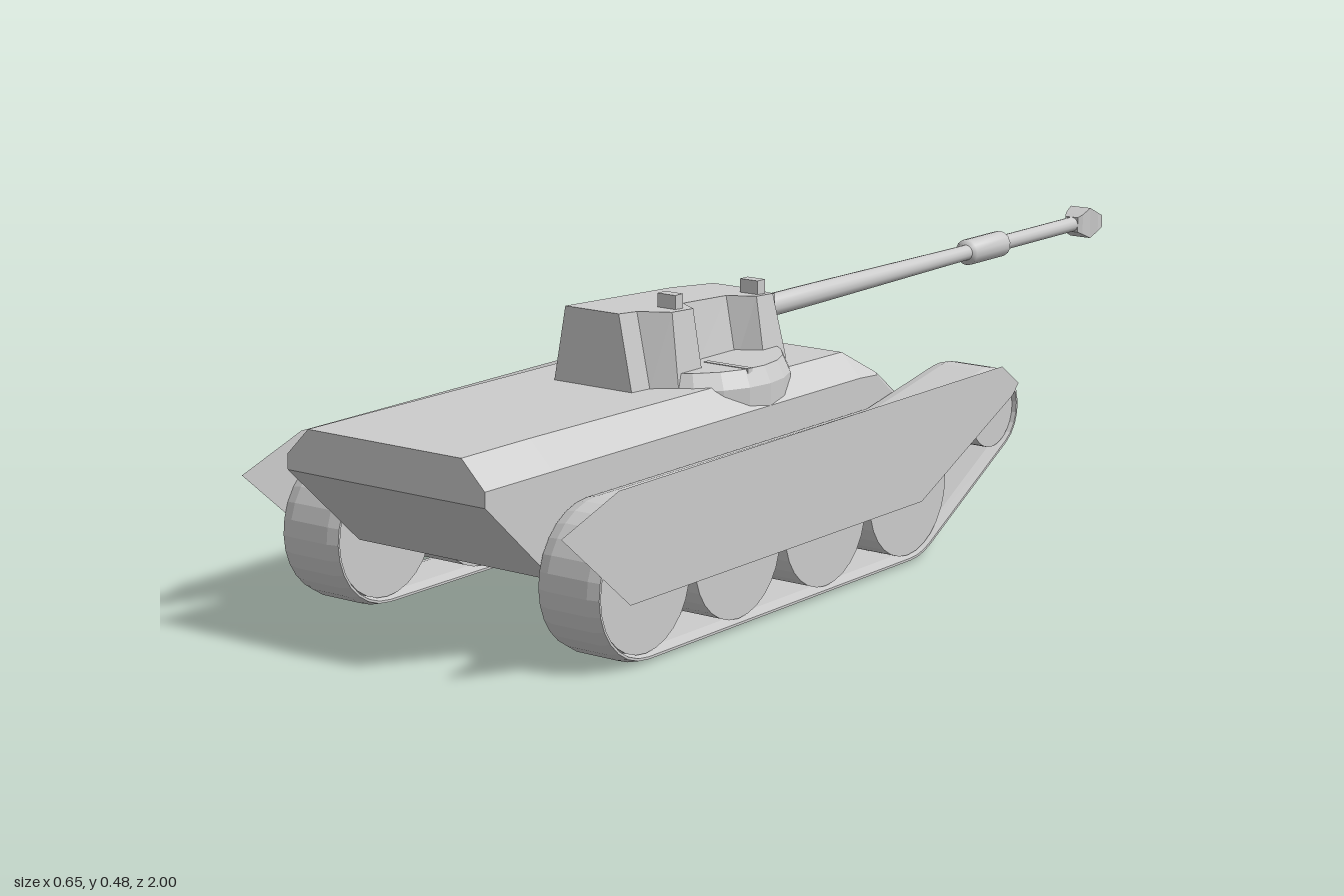
import * as THREE from 'three';

const grey = new THREE.MeshStandardMaterial({ color: 0xcccccc, flatShading: true });
const smooth = new THREE.MeshStandardMaterial({ color: 0xcccccc });
const sheet = new THREE.MeshStandardMaterial({ color: 0xcccccc, side: THREE.DoubleSide });

function add(parent, name, geometry, material = grey) {
  const mesh = new THREE.Mesh(geometry, material);
  mesh.name = name;
  parent.add(mesh);
  return mesh;
}

// Closed solid through rings of [x, y, z] points, ordered along +axis;
// rings run counter-clockwise seen from +axis.
function loft(rings, axis) {
  const n = rings[0].length, index = [];
  const flat = rings[0].map(([x, y, z]) => (axis === 'z' ? new THREE.Vector2(x, y) : new THREE.Vector2(z, x)));
  const last = (rings.length - 1) * n;
  for (let r = 0; r < rings.length - 1; r++) {
    for (let i = 0; i < n; i++) {
      const a = r * n + i, b = r * n + (i + 1) % n;
      index.push(a, b, b + n, a, b + n, a + n);
    }
  }
  for (const [a, b, c] of THREE.ShapeUtils.triangulateShape(flat, [])) {
    index.push(a, c, b, last + a, last + b, last + c);
  }
  const g = new THREE.BufferGeometry();
  g.setAttribute('position', new THREE.Float32BufferAttribute(rings.flat(2), 3));
  g.setIndex(index);
  const out = g.toNonIndexed();
  out.computeVertexNormals();
  return out;
}

// Rectangular ring at depth z
const rect = (z, w, y0, y1) => [[-w, y0, z], [w, y0, z], [w, y1, z], [-w, y1, z]];

function box(parent, name, size, pos) {
  return add(parent, name, new THREE.BoxGeometry(...size).translate(...pos));
}

// Side outline of the track belt, as points in (z, y)
function beltPath(inset) {
  const pts = [];
  const arc = (z, y, r, from, to, steps) => {
    for (let i = 0; i <= steps; i++) {
      const a = THREE.MathUtils.degToRad(from + (to - from) * i / steps);
      pts.push(new THREE.Vector2(z + (r - inset) * Math.cos(a), y + (r - inset) * Math.sin(a)));
    }
  };
  arc(0.77, 0.123, 0.123, -90, 90, 14);
  pts.push(new THREE.Vector2(0.03, 0.246 - inset));
  arc(-0.182, 0.212, 0.075, 78, 240, 10);
  arc(0.07, 0.123, 0.123, 240, 270, 3);
  return pts;
}

function createRunningGear(side) {
  const group = new THREE.Group();
  group.name = side > 0 ? 'leftRunningGear' : 'rightRunningGear';
  const cx = side * 0.264;

  // Belt with chamfered edges
  const belt = new THREE.Shape(beltPath(0));
  belt.holes.push(new THREE.Path(beltPath(0.014).reverse()));
  const beltGeo = new THREE.ExtrudeGeometry(belt, {
    depth: 0.078, bevelEnabled: true, bevelThickness: 0.02, bevelSize: 0.005, bevelOffset: -0.005, bevelSegments: 1,
  });
  beltGeo.translate(0, 0, -0.039).rotateY(-Math.PI / 2).translate(cx, 0, 0);
  add(group, 'track', beltGeo);

  // Road wheels and drive sprocket
  const wheel = (name, z, y, r) =>
    add(group, name, new THREE.CylinderGeometry(r, r, 0.105, 28).rotateZ(Math.PI / 2).translate(cx, y, z));
  for (let i = 0; i < 4; i++) wheel('roadWheel', 0.77 - i * 0.2333, 0.123, 0.11);
  wheel('sprocket', -0.182, 0.212, 0.062);

  // Thin side skirt
  const outline = [[0.975, 0.237], [0.84, 0.283], [-0.2, 0.288], [-0.252, 0.25], [-0.235, 0.232], [0.04, 0.1], [0.815, 0.1]];
  const skirt = new THREE.ShapeGeometry(new THREE.Shape(outline.map(p => new THREE.Vector2(...p))));
  add(group, 'sideSkirt', skirt.rotateY(-Math.PI / 2).translate(side * 0.324, 0, 0), sheet);
  return group;
}

function createHull() {
  const group = new THREE.Group();
  group.name = 'hull';
  // [z, half width, top half width, bottom, shoulder, top]
  const sections = [
    [-0.19, 0.155, 0.155, 0.135, 0.145, 0.15],
    [-0.14, 0.155, 0.155, 0.125, 0.18, 0.19],
    [-0.139, 0.2, 0.2, 0.125, 0.18, 0.19],
    [-0.005, 0.2, 0.198, 0.125, 0.292, 0.296],
    [0.045, 0.2, 0.162, 0.125, 0.295, 0.335],
    [0.845, 0.2, 0.155, 0.125, 0.295, 0.34],
    [1, 0.2, 0.155, 0.27, 0.295, 0.34],
  ];
  add(group, 'hullBody', loft(sections.map(([z, w, t, b, m, y]) =>
    [[-w, b, z], [w, b, z], [w, m, z], [t, y, z], [-t, y, z], [-w, m, z]]), 'z'));
  // Driver's periscope on the sloped plate
  box(group, 'driverPeriscope', [0.04, 0.025, 0.018], [-0.09, 0.325, 0.03]);
  for (const x of [-0.135, -0.045]) box(group, 'periscopeGuard', [0.004, 0.02, 0.05], [x, 0.315, 0.02]);
  return group;
}

function createTurret() {
  const group = new THREE.Group();
  group.name = 'turret';

  // Ring: short wall with a sloped rim
  const ring = new THREE.LatheGeometry(
    [[0, 0.28], [0.2, 0.28], [0.2, 0.332], [0.187, 0.36], [0, 0.36]].map(p => new THREE.Vector2(...p)), 24);
  add(group, 'turretRing', ring.scale(1, 1, 0.9).translate(0, 0, 0.295));
  for (const s of [-1, 1]) box(group, 'ringRib', [0.09, 0.012, 0.012], [s * 0.14, 0.355, 0.33]);

  // Tapering body with two bulges on its left: [bottom x, bottom z, top x, top z]
  const outline = [
    [-0.08, 0.505, -0.055, 0.505], [0.08, 0.505, 0.055, 0.505], [0.085, 0.465, 0.06, 0.465],
    [0.12, 0.435, 0.104, 0.43], [0.12, 0.37, 0.104, 0.375], [0.08, 0.345, 0.06, 0.345],
    [0.08, 0.23, 0.06, 0.23], [0.12, 0.205, 0.1, 0.2], [0.12, 0.145, 0.1, 0.155],
    [0.085, 0.115, 0.065, 0.145], [0.04, 0.11, 0.035, 0.14], [-0.04, 0.11, -0.035, 0.14],
    [-0.08, 0.22, -0.055, 0.23], [-0.08, 0.46, -0.055, 0.46],
  ];
  const roof = z => 0.445 + (z - 0.14) * 0.05;
  add(group, 'turretBody', loft([
    outline.map(([x, z]) => [x, 0.338, z]),
    outline.map(([, , x, z]) => [x, roof(z), z]),
  ], 'y'));

  // Roof sights
  for (const z of [0.175, 0.395]) box(group, 'roofSight', [0.036, 0.035, 0.02], [0.073, roof(z) + 0.006, z]);

  // Gun mantlet
  add(group, 'mantlet', loft([
    rect(0.05, 0.027, 0.36, 0.42), rect(0.115, 0.042, 0.345, 0.43), rect(0.16, 0.042, 0.345, 0.44),
  ], 'z'));
  return group;
}

function createGun() {
  const group = new THREE.Group();
  group.name = 'gun';
  group.position.y = 0.393;
  // Barrel with its thicker sleeve, as [radius, distance forward]
  const tube = (name, pts) =>
    add(group, name, new THREE.LatheGeometry(pts.map(p => new THREE.Vector2(...p)), 14).rotateX(-Math.PI / 2), smooth);
  tube('barrel', [[0, -0.08], [0.02, -0.08], [0.019, 0.1], [0.014, 0.57], [0.014, 0.95], [0, 0.95]]);
  tube('barrelSleeve', [[0, 0.57], [0.024, 0.575], [0.024, 0.685], [0, 0.69]]);
  // Muzzle brake
  add(group, 'muzzleBrake', loft([
    rect(-1, 0.028, -0.011, 0.011), rect(-0.985, 0.028, -0.018, 0.018), rect(-0.967, 0.022, -0.029, 0.029),
    rect(-0.945, 0.019, -0.019, 0.019), rect(-0.935, 0.014, -0.014, 0.014),
  ], 'z'));
  return group;
}

export function createModel() {
  const model = new THREE.Group();
  model.name = 'tank';
  model.add(createHull(), createTurret(), createGun(), createRunningGear(1), createRunningGear(-1));
  return model;
}
